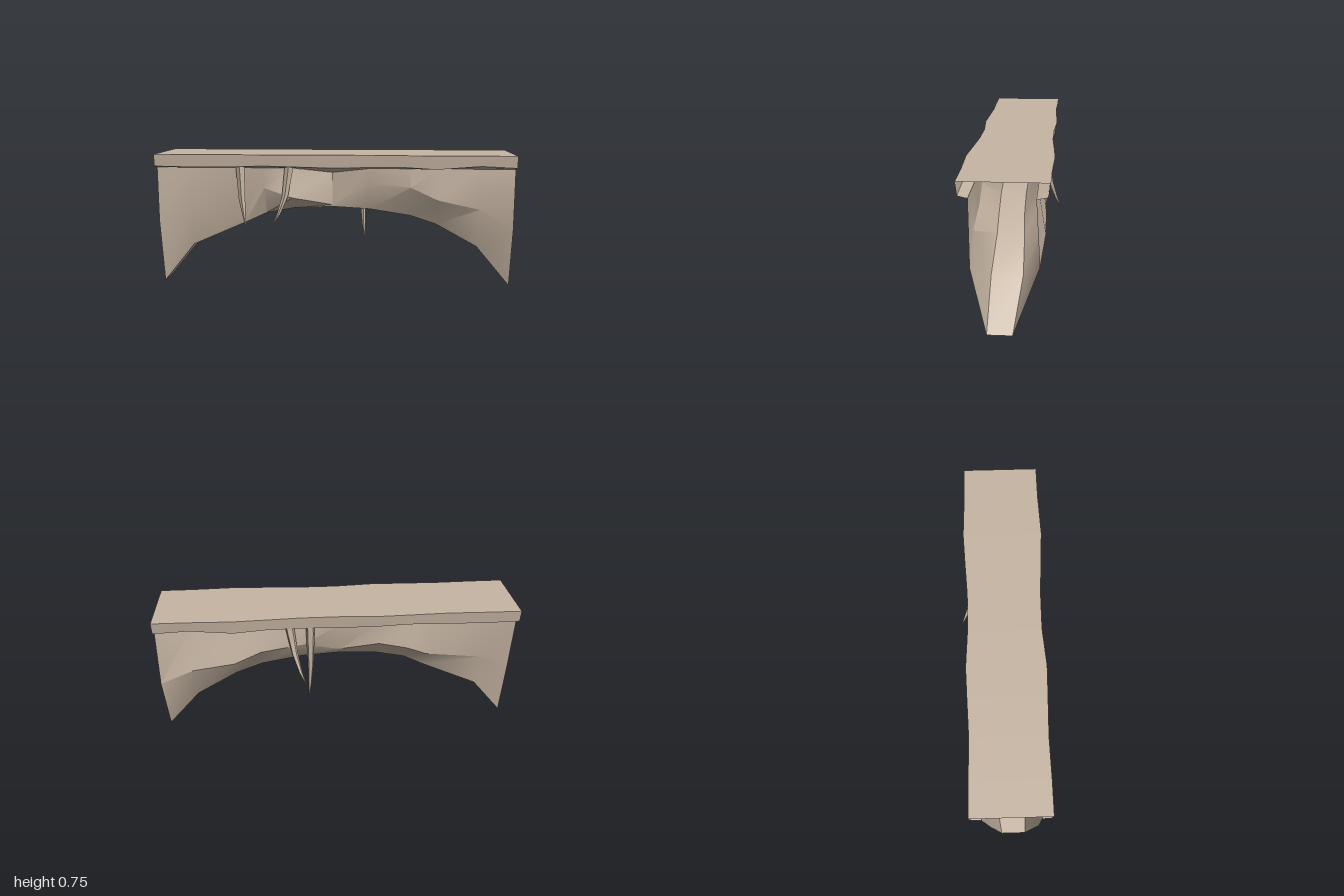
import * as THREE from 'three';
import { toCreasedNormals } from 'three/addons/utils/BufferGeometryUtils.js';

const stone = new THREE.MeshStandardMaterial({ color: 0xc6b5a3, side: THREE.DoubleSide });
stone.name = 'stone';

// Skin a list of open cross-sections (each a list of [x, y, z])
function loft(name, sections, crease) {
  const n = sections[0].length, index = [];
  for (let i = 0; i < sections.length - 1; i++) {
    for (let j = 0; j < n - 1; j++) {
      const a = i * n + j, b = a + n;
      index.push(a, a + 1, b, b, a + 1, b + 1);
    }
  }
  const geometry = new THREE.BufferGeometry();
  geometry.setAttribute('position', new THREE.Float32BufferAttribute(sections.flat(2), 3));
  geometry.setIndex(index);
  const mesh = new THREE.Mesh(toCreasedNormals(geometry, crease), stone);
  mesh.name = name;
  return mesh;
}

// Tapered hanging root; path points are [x, y, z, radius], from the top down
function root(name, path) {
  const sides = 5;
  const geometry = new THREE.CylinderGeometry(1, 1, 1, sides, path.length - 1, true);
  const p = geometry.attributes.position;
  for (let i = 0; i < p.count; i++) {
    const [x, y, z, r] = path[Math.floor(i / (sides + 1))];
    p.setXYZ(i, x + p.getX(i) * r, y, z + p.getZ(i) * r);
  }
  const mesh = new THREE.Mesh(toCreasedNormals(geometry, 0.6), stone);
  mesh.name = name;
  return mesh;
}

export function createModel() {
  const group = new THREE.Group();
  group.name = 'stoneBridge';

  // x, front ledge y z, arch y, arch front z, arch back z, back ledge y z
  const arch = [
    [-1, 0.37, 0.17, 0, 0.105, -0.03, 0.35, -0.09],
    [-0.82, 0.42, 0.165, 0.22, 0.105, -0.06, 0.42, -0.1],
    [-0.5, 0.39, 0.125, 0.36, 0.113, -0.055, 0.47, -0.13],
    [-0.39, 0.56, 0.172, 0.41, 0.105, -0.045, 0.52, -0.145],
    [-0.23, 0.51, 0.20, 0.44, 0.105, -0.04, 0.55, -0.135],
    [-0.01, 0.46, 0.106, 0.45, 0.105, -0.04, 0.50, -0.09],
    [0.2, 0.59, 0.168, 0.437, 0.10, -0.04, 0.56, -0.135],
    [0.43, 0.57, 0.175, 0.40, 0.09, -0.045, 0.53, -0.15],
    [0.58, 0.50, 0.175, 0.35, 0.085, -0.055, 0.47, -0.165],
    [0.81, 0.45, 0.176, 0.225, 0.093, -0.063, 0.44, -0.17],
    [1, 0.34, 0.17, 0, 0.098, -0.025, 0.35, -0.15],
  ];
  // Top of the walls, pinched inward at the middle of the front
  const wallTop = (x) => {
    const pinch = Math.max(0, 1 - Math.abs(x + 0.01) / 0.21);
    return { front: [x, 0.675 - 0.03 * pinch, 0.172 - 0.067 * pinch], back: [x, 0.675, -0.132] };
  };

  // Hollow body: front wall, arched floor, back wall
  group.add(loft('archedBody', arch.map(([x, fy, fz, y, zf, zb, by, bz]) => {
    const top = wallTop(x);
    return [top.front, [x, fy, fz], [x, y, zf], [x, y, zb], [x, by, bz], top.back];
  }), 0.45));

  // x, front edge z, back edge z, lip bottom y
  const edges = [
    [-1, 0.227, -0.195, 0.686], [-0.82, 0.226, -0.193, 0.682], [-0.6, 0.221, -0.187, 0.682],
    [-0.39, 0.227, -0.194, 0.69], [-0.22, 0.231, -0.199, 0.686], [-0.01, 0.214, -0.186, 0.679],
    [0.2, 0.216, -0.185, 0.684], [0.4, 0.228, -0.196, 0.686], [0.57, 0.238, -0.204, 0.677],
    [0.81, 0.228, -0.196, 0.695], [1, 0.227, -0.195, 0.686],
  ];
  // Flat deck with a lip hanging down and turning in along both sides
  group.add(loft('deck', edges.map(([x, zf, zb, y]) => {
    const top = wallTop(x);
    return [top.back, [x, y, zb + 0.01], [x, 0.752, zb], [x, 0.752, zf], [x, y, zf - 0.008], top.front];
  }), 0.4));

  // Roots hanging from under the lips
  group.add(
    root('frontRootOuter', [[-0.52, 0.725, 0.19, 0], [-0.52, 0.703, 0.19, 0.026],
      [-0.52, 0.66, 0.19, 0.025], [-0.513, 0.5, 0.197, 0.019], [-0.49, 0.32, 0.217, 0]]),
    root('frontRootInner', [[-0.245, 0.725, 0.19, 0], [-0.245, 0.703, 0.19, 0.026],
      [-0.25, 0.66, 0.19, 0.025], [-0.27, 0.52, 0.199, 0.018], [-0.305, 0.42, 0.218, 0.01], [-0.342, 0.355, 0.238, 0]]),
    root('backRootLong', [[0.155, 0.725, -0.152, 0], [0.155, 0.703, -0.152, 0.026],
      [0.155, 0.64, -0.152, 0.025], [0.157, 0.44, -0.145, 0.018], [0.163, 0.3, -0.135, 0.01], [0.172, 0.205, -0.127, 0]]),
    root('backRootCurved', [[0.27, 0.725, -0.152, 0], [0.27, 0.703, -0.152, 0.026],
      [0.265, 0.66, -0.154, 0.025], [0.245, 0.53, -0.175, 0.018], [0.215, 0.425, -0.208, 0.01], [0.183, 0.355, -0.238, 0]]),
  );
  return group;
}
